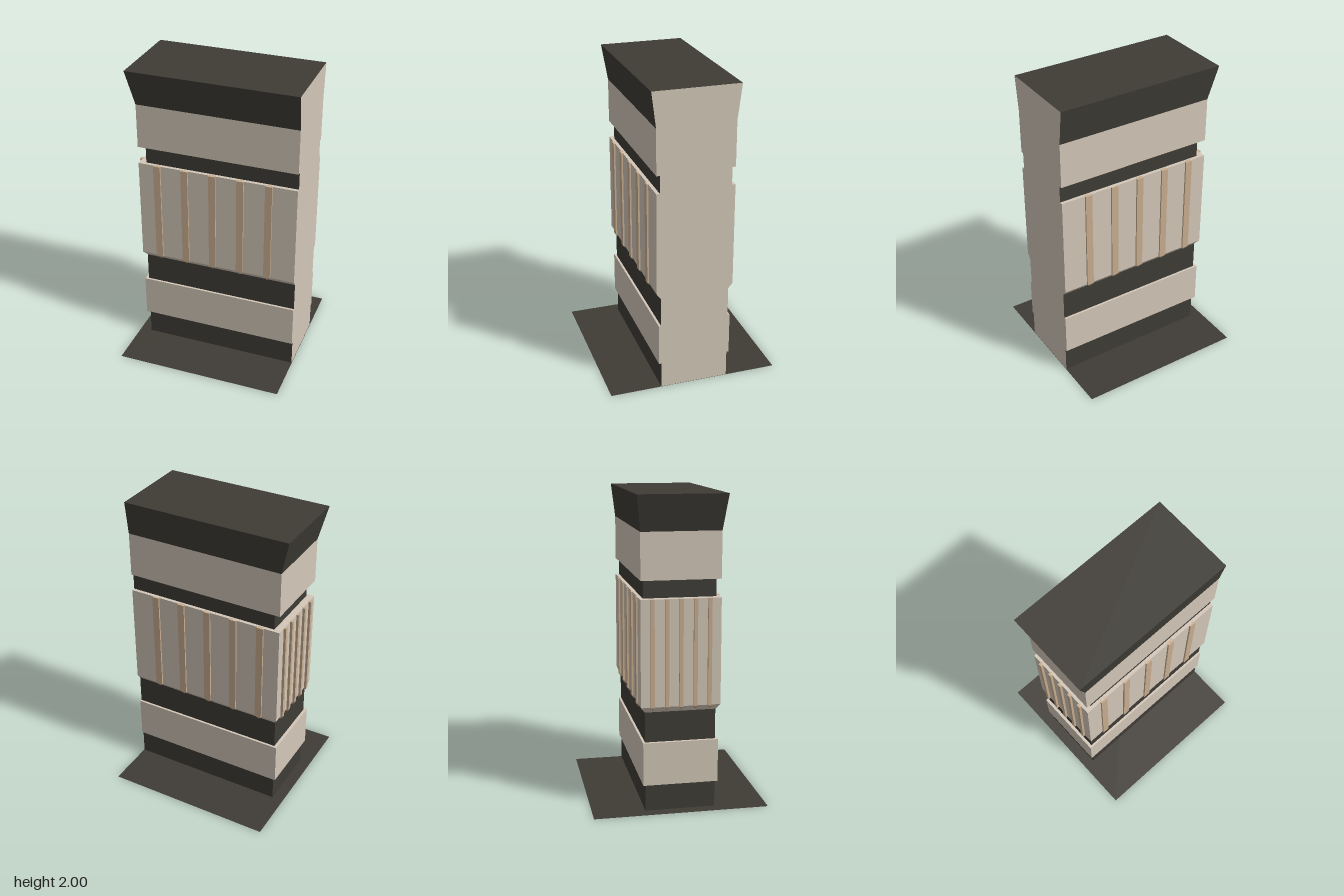
import * as THREE from 'three';

const dark = new THREE.MeshStandardMaterial({ color: 0x3f3c36 });
const stone = new THREE.MeshStandardMaterial({ color: 0xd3c7b8 });
const tan = new THREE.MeshStandardMaterial({ color: 0xc8ae90 });
const ground = new THREE.MeshStandardMaterial({ color: 0x3f3c36, side: THREE.DoubleSide });

const RIGHT = 0.56; // flat end shared by every band

// name, material, then y / left extent / half depth at the bottom and at the top
const BANDS = [
  ['plinth', dark, 0, 0.485, 0.225, 0.175, 0.485, 0.225],
  ['lowerBand', stone, 0.175, 0.505, 0.24, 0.455, 0.505, 0.24],
  ['lowerRecess', dark, 0.455, 0.485, 0.225, 0.65, 0.485, 0.225],
  ['bevel', stone, 0.65, 0.485, 0.225, 0.685, 0.505, 0.253],
  ['ribbedBand', stone, 0.685, 0.505, 0.253, 1.365, 0.505, 0.253],
  ['upperRecess', dark, 1.365, 0.46, 0.23, 1.48, 0.46, 0.23],
  ['upperBand', stone, 1.48, 0.505, 0.252, 1.775, 0.505, 0.252],
  ['flaredCap', dark, 1.775, 0.505, 0.252, 2, 0.56, 0.28],
];

function addMesh(parent, name, geometry, material) {
  const mesh = new THREE.Mesh(geometry, material);
  mesh.name = name;
  parent.add(mesh);
  return mesh;
}

// Box tapered on the left, front and back; open where the flat end panel closes it
function bandGeometry(y0, left0, depth0, y1, left1, depth1) {
  const g = new THREE.BoxGeometry(1, 1, 1);
  const p = g.attributes.position;
  for (let i = 0; i < p.count; i++) {
    const top = p.getY(i) > 0;
    const x = p.getX(i) > 0 ? RIGHT : -(top ? left1 : left0);
    p.setXYZ(i, x, top ? y1 : y0, Math.sign(p.getZ(i)) * (top ? depth1 : depth0));
  }
  const faces = Array.from(g.index.array);
  // the bottom face is dropped on the ground too
  g.setIndex(y0 === 0 ? [...faces.slice(6, 18), ...faces.slice(24)] : faces.slice(6));
  g.clearGroups();
  g.computeVertexNormals();
  return g;
}

// Upright bar facing +z with a pointed lower tip
function makeRib(width) {
  const rib = new THREE.Group();
  rib.name = 'rib';
  const bar = addMesh(rib, 'ribBar', new THREE.BoxGeometry(width, 0.68, 0.024), tan);
  bar.position.y = 1.025;
  const tip = new THREE.BoxGeometry(width, 0.026, 0.024).toNonIndexed();
  const p = tip.attributes.position;
  for (let i = 0; i < p.count; i++) {
    if (p.getY(i) < 0) p.setXYZ(i, 0, p.getY(i), -0.006);
  }
  tip.computeVertexNormals();
  addMesh(rib, 'ribTip', tip, tan).position.y = 0.672;
  return rib;
}

export function createModel() {
  const model = new THREE.Group();
  model.name = 'wallPillar';

  // Ground sheet
  const base = new THREE.PlaneGeometry(1.124, 1.124).rotateX(-Math.PI / 2);
  addMesh(model, 'groundSheet', base, ground);

  // Stacked bands
  for (const [name, material, ...size] of BANDS) {
    addMesh(model, name, bandGeometry(...size), material);
  }

  // Flat end panel following the stacked outline
  const outline = [];
  for (const [, , y0, , d0, y1, , d1] of BANDS) {
    outline.push(new THREE.Vector2(d0, y0), new THREE.Vector2(d1, y1));
  }
  const mirrored = outline.map((v) => new THREE.Vector2(-v.x, v.y)).reverse();
  const points = [...outline, ...mirrored].filter((v, i, a) => i === 0 || !v.equals(a[i - 1]));
  const panel = new THREE.ShapeGeometry(new THREE.Shape(points)).rotateY(Math.PI / 2);
  addMesh(model, 'endPanel', panel, stone).position.x = RIGHT;

  // Five ribs on the front, the back and the left end of the ribbed band
  for (let i = -2; i <= 2; i++) {
    for (const side of [1, -1]) {
      const rib = makeRib(0.046);
      rib.position.set(i * 0.188, 0, side * 0.252);
      if (side < 0) rib.rotation.y = Math.PI;
      model.add(rib);
    }
    const endRib = makeRib(0.024);
    endRib.position.set(-0.509, 0, i * 0.09);
    endRib.rotation.y = -Math.PI / 2;
    model.add(endRib);
  }
  return model;
}
